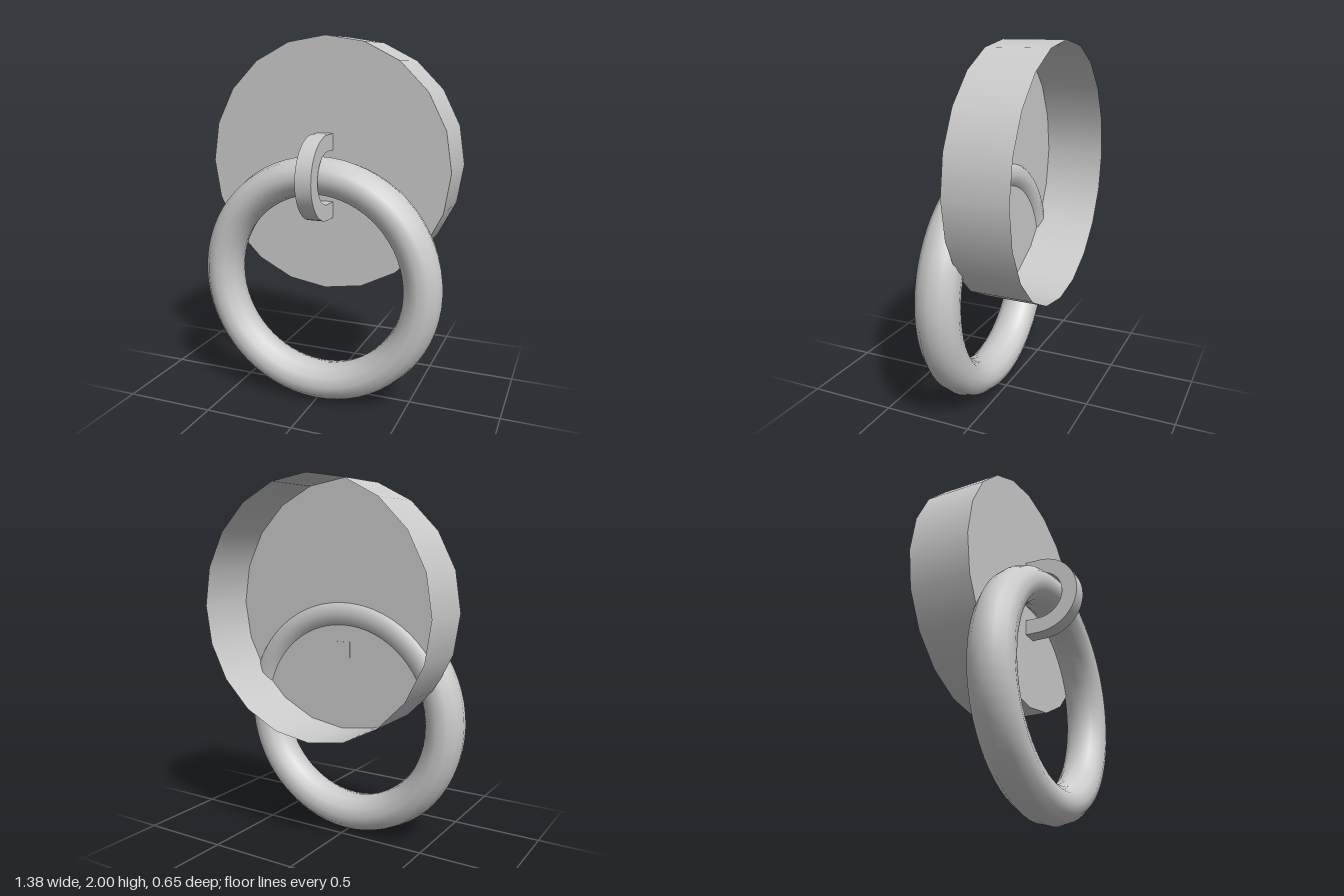
import * as THREE from 'three';
import { toCreasedNormals } from 'three/addons/utils/BufferGeometryUtils.js';

export function createModel() {
  const group = new THREE.Group();
  const grey = new THREE.MeshStandardMaterial({ color: 0xcccccc });
  const greyThin = new THREE.MeshStandardMaterial({ color: 0xcccccc, side: THREE.DoubleSide });
  const add = (name, geometry, material, y, z, parent = group) => {
    const mesh = new THREE.Mesh(geometry, material);
    mesh.name = name;
    mesh.position.set(0, y, z);
    parent.add(mesh);
    return mesh;
  };

  // Wall cup: a thin drum, closed at the front and open at the back
  const radius = 0.6875, back = -0.327, front = 0.018, sides = 20, cupY = 2 - radius;
  const cup = new THREE.Group();
  cup.name = 'cup';
  group.add(cup);
  const wall = new THREE.CylinderGeometry(radius, radius, front - back, sides, 1, true);
  wall.rotateX(Math.PI / 2);
  add('cupWall', wall, greyThin, cupY, (front + back) / 2, cup);
  add('cupFace', new THREE.CircleGeometry(radius, sides), greyThin, cupY, front, cup);

  // Hanging ring, its section slightly deeper than wide
  const tube = 0.104;
  const ringGeometry = new THREE.TorusGeometry(radius - tube, tube, 12, 64);
  ringGeometry.scale(1, 1, 0.12 / tube);
  add('ring', ringGeometry, grey, radius + 0.004, 0.111);

  // Staple holding the ring: a U drawn in (z, y), extruded across x
  const outer = 0.23, inner = 0.142, bend = 0.097, root = 0.015, width = 0.09;
  const profile = new THREE.Shape();
  profile.moveTo(root, -outer);
  profile.lineTo(bend, -outer);
  profile.absarc(bend, 0, outer, -Math.PI / 2, Math.PI / 2, false);
  profile.lineTo(root, outer);
  profile.lineTo(root, inner);
  profile.lineTo(bend, inner);
  profile.absarc(bend, 0, inner, Math.PI / 2, -Math.PI / 2, true);
  profile.lineTo(root, -inner);
  profile.closePath();
  const staple = new THREE.ExtrudeGeometry(profile, { depth: width, bevelEnabled: false, curveSegments: 12 });
  staple.translate(0, 0, -width / 2);
  staple.rotateY(-Math.PI / 2);
  add('staple', toCreasedNormals(staple, 0.6), grey, 1.262, 0);

  return group;
}
